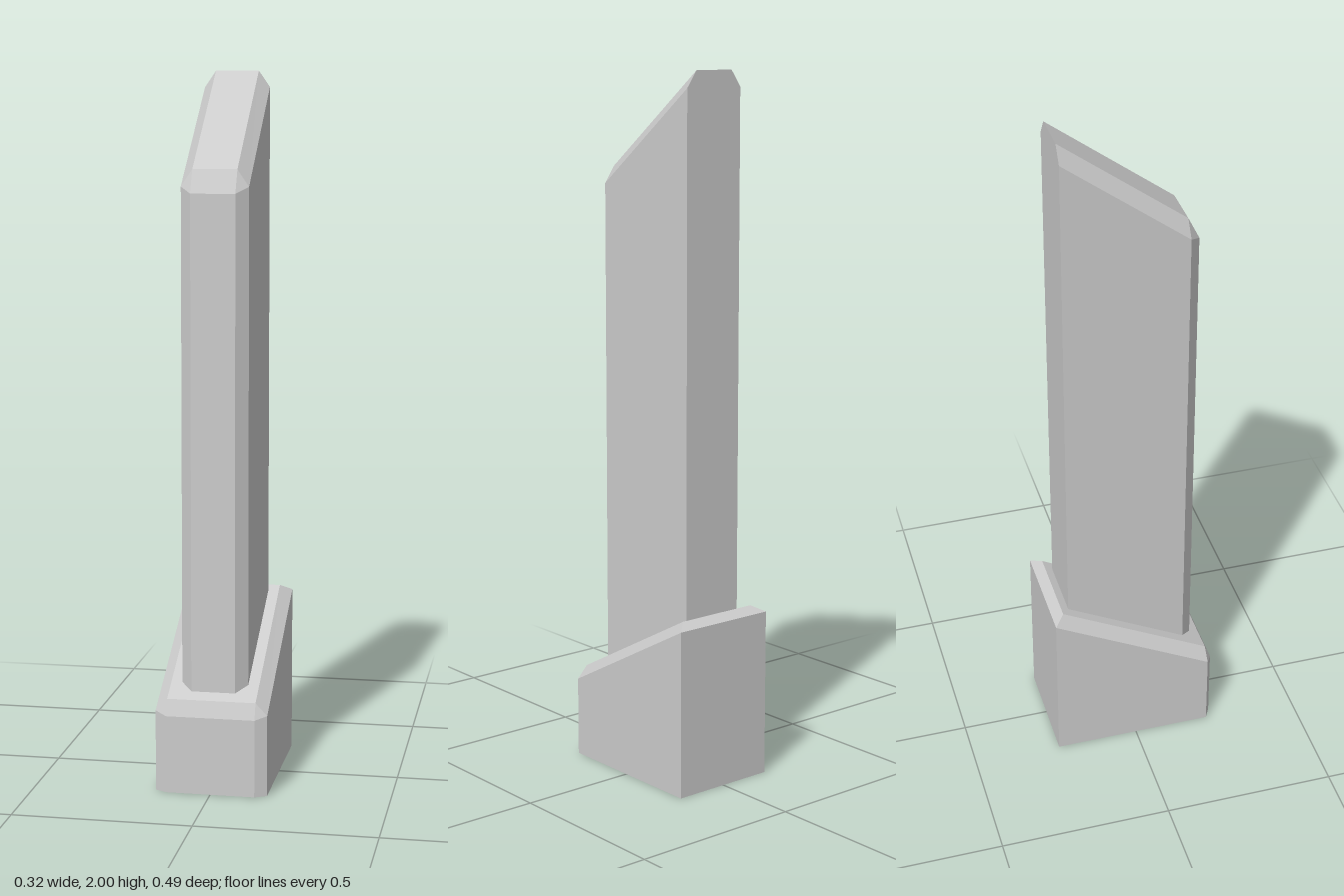
import * as THREE from 'three';

// Slanted block with bevelled top and front edges, open underneath.
// Points are given for the +x half and mirrored.
function bevelledBlock(name, { half, inner, zFront, zSide, zBack, zTopBack, yFront, ySide, yTop, yBack, yPeak, floor }) {
  const F0 = [inner, floor(zFront), zFront], F = [inner, yFront, zFront];
  const S0 = [half, floor(zSide), zSide], S = [half, ySide, zSide];
  const B0 = [half, floor(zBack), zBack], B = [half, yBack, zBack];
  const T = [inner, yTop, zSide], P = [inner, yPeak, zTopBack];
  const mirror = ([x, y, z]) => [-x, y, z];
  const positions = [];
  const face = (...pts) => {
    for (let i = 1; i < pts.length - 1; i++) positions.push(...pts[0], ...pts[i], ...pts[i + 1]);
  };

  // Front, front bevel, sloped top, back bevel and back span both halves
  const loop = [F0, F, T, P, B, B0];
  for (let i = 0; i < loop.length - 1; i++) {
    const a = loop[i], b = loop[i + 1];
    face(mirror(a), a, b, mirror(b));
  }
  // Corner strip, side wall, corner triangle and side bevel, on each side
  for (const pts of [[F0, S0, S, F], [S0, B0, B, S], [F, S, T], [S, B, P, T]]) {
    face(...pts);
    face(...pts.map(mirror).reverse());
  }

  const geometry = new THREE.BufferGeometry();
  geometry.setAttribute('position', new THREE.Float32BufferAttribute(positions, 3));
  geometry.computeVertexNormals();
  const mesh = new THREE.Mesh(geometry, new THREE.MeshStandardMaterial({
    color: 0xcccccc, flatShading: true, side: THREE.DoubleSide,
  }));
  mesh.name = name;
  return mesh;
}

export function createModel() {
  const group = new THREE.Group();
  group.name = 'slantedPillar';

  // Hollow base with a sloping top
  group.add(bevelledBlock('base', {
    half: 0.158, inner: 0.125,
    zFront: 0.243, zSide: 0.225, zBack: -0.243, zTopBack: -0.213,
    yFront: 0.22, ySide: 0.23, yTop: 0.265, yBack: 0.482, yPeak: 0.5,
    floor: () => 0,
  }));

  // Tall column standing on the slope of the base
  group.add(bevelledBlock('column', {
    half: 0.094, inner: 0.062,
    zFront: 0.195, zSide: 0.163, zBack: -0.19, zTopBack: -0.19,
    yFront: 1.665, ySide: 1.683, yTop: 1.73, yBack: 1.954, yPeak: 2,
    floor: (z) => 0.265 + (0.225 - z) * (0.235 / 0.438),
  }));

  return group;
}
